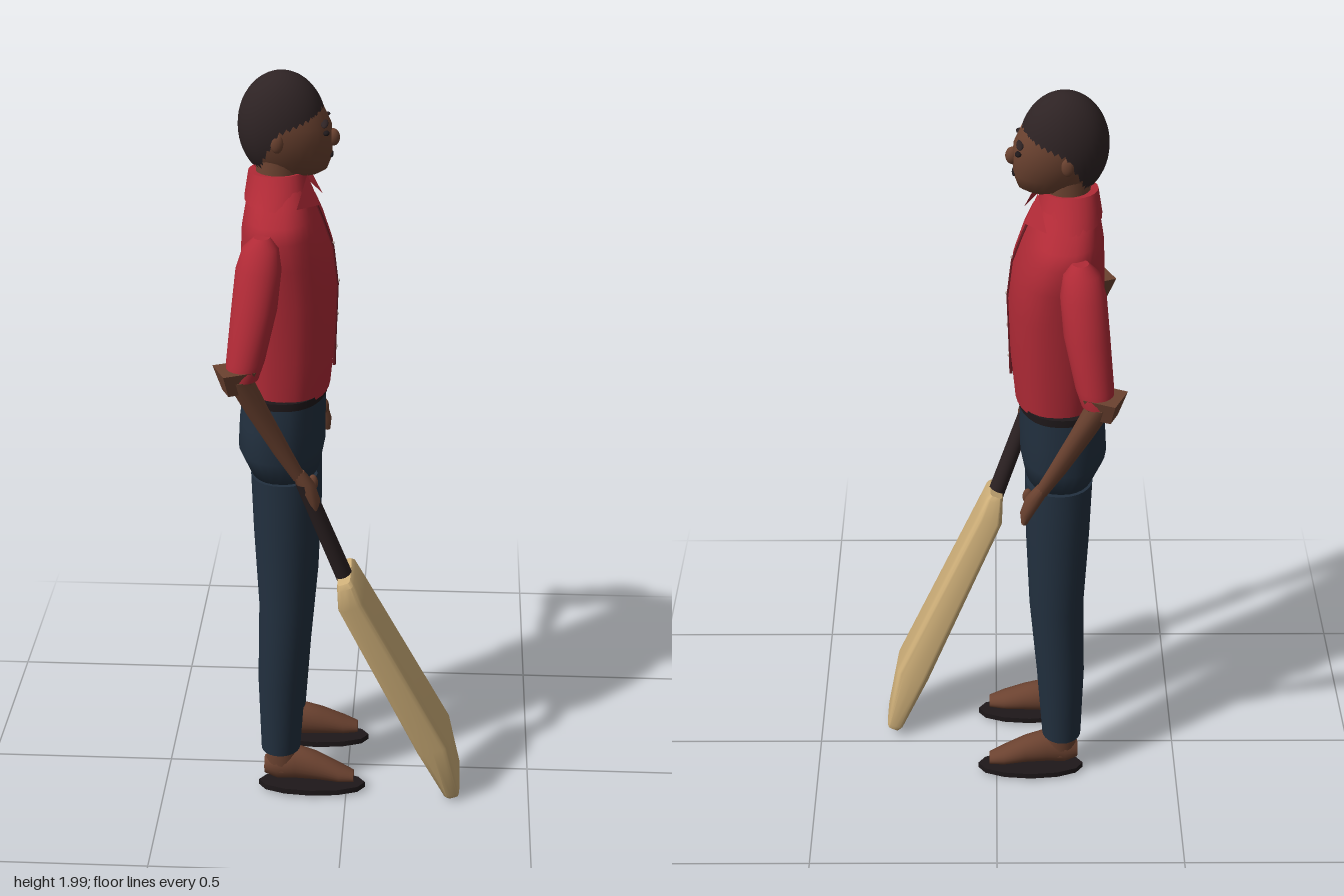
import * as THREE from 'three';
import { toCreasedNormals } from 'three/addons/utils/BufferGeometryUtils.js';

const mat = (name, color, side = THREE.FrontSide) => {
  const m = new THREE.MeshStandardMaterial({ color, side });
  m.name = name;
  return m;
};
const V3 = (x, y, z) => new THREE.Vector3(x, y, z);
const X = V3(1, 0, 0), Y = V3(0, 1, 0), Z = V3(0, 0, 1);

// Skin through rings [x, y, z, halfU, halfV]; power < 1 squares the section off
function loft(rings, { u = X, v = Z, power = 1, seg = 24 } = {}) {
  const pos = [], index = [];
  const bend = (c) => Math.sign(c) * Math.pow(Math.abs(c), power);
  const addRing = ([x, y, z, a, b]) => {
    for (let j = 0; j < seg; j++) {
      const t = (j / seg) * Math.PI * 2;
      const p = V3(x, y, z).addScaledVector(u, a * bend(Math.cos(t))).addScaledVector(v, b * bend(Math.sin(t)));
      pos.push(p.x, p.y, p.z);
    }
  };
  rings.forEach(addRing);
  for (let i = 0; i < rings.length - 1; i++) {
    for (let j = 0; j < seg; j++) {
      const a = i * seg + j, b = i * seg + (j + 1) % seg;
      index.push(a, a + seg, b, b, a + seg, b + seg);
    }
  }
  // flat end caps
  [rings[0], rings[rings.length - 1]].forEach((r, end) => {
    const base = pos.length / 3;
    addRing(r);
    pos.push(r[0], r[1], r[2]);
    for (let j = 0; j < seg; j++) {
      const a = base + j, b = base + (j + 1) % seg;
      index.push(base + seg, end ? b : a, end ? a : b);
    }
  });
  const g = new THREE.BufferGeometry();
  g.setAttribute('position', new THREE.Float32BufferAttribute(pos, 3));
  g.setIndex(index);
  g.computeVertexNormals();
  return g;
}

export function createModel() {
  const model = new THREE.Group();
  model.name = 'batsman';
  const shirt = mat('red shirt', 0xb02a36, THREE.DoubleSide);
  const placketRed = mat('dark red trim', 0x6a1a22);
  const navy = mat('navy trousers', 0x22303f);
  const skin = mat('brown skin', 0x6b4230);
  const hairMat = mat('dark hair', 0x2e2324, THREE.DoubleSide);
  const black = mat('black leather', 0x1e181a);
  const grip = mat('dark grip', 0x2a2021);
  const wood = mat('willow wood', 0xcdae78);
  const pale = mat('pale buttons', 0xb8a8a0);

  const add = (name, geo, material, p = [0, 0, 0], s = [1, 1, 1]) => {
    const m = new THREE.Mesh(geo, material);
    m.name = name;
    m.position.set(...p);
    m.scale.set(...s);
    model.add(m);
    return m;
  };
  const ball = new THREE.SphereGeometry(1, 16, 12);

  // Head and neck
  add('head', loft([
    [-0.128, 1.742, 0, 0.05, 0.025], [-0.135, 1.756, 0, 0.082, 0.045], [-0.14, 1.79, 0, 0.1, 0.066],
    [-0.145, 1.83, 0, 0.106, 0.078], [-0.149, 1.87, 0, 0.108, 0.083], [-0.156, 1.92, 0, 0.092, 0.076],
    [-0.16, 1.965, 0, 0.06, 0.055],
  ]), skin);
  add('neck', loft([[-0.175, 1.68, 0, 0.06, 0.06], [-0.17, 1.8, 0, 0.055, 0.055]]), skin);
  add('nose', ball, skin, [-0.038, 1.835, 0], [0.017, 0.022, 0.014]);
  add('mouth', ball, black, [-0.042, 1.792, 0], [0.005, 0.006, 0.022]);

  // Hair shell with a hairline that drops from brow to nape
  const hair = new THREE.SphereGeometry(1, 40, 20);
  const hp = hair.attributes.position, uv = hair.attributes.uv;
  for (let i = 0; i < hp.count; i++) {
    const phi = uv.getX(i) * Math.PI * 2, c = -Math.cos(phi);
    const edge = c > 0 ? 1.6 - 0.33 * c : 1.6 + 0.8 * Math.min(1, -c * 1.6);
    const th = (1 - uv.getY(i)) * edge;
    hp.setXYZ(i, c * Math.sin(th) * 0.109, Math.cos(th) * 0.135, Math.sin(phi) * Math.sin(th) * 0.088);
  }
  hair.computeVertexNormals();
  add('hair', hair, hairMat, [-0.163, 1.865, 0]);

  // Shirt body and collar
  add('shirtBody', loft([
    [-0.155, 1.185, 0, 0.108, 0.166], [-0.152, 1.3, 0, 0.117, 0.172], [-0.15, 1.45, 0, 0.121, 0.181],
    [-0.154, 1.55, 0, 0.114, 0.193], [-0.164, 1.62, 0, 0.1, 0.198], [-0.168, 1.655, 0, 0.09, 0.18],
    [-0.172, 1.69, 0, 0.078, 0.13], [-0.175, 1.72, 0, 0.068, 0.085],
  ], { power: 0.85, seg: 32 }), shirt);
  add('collar', loft([[-0.175, 1.685, 0, 0.084, 0.138], [-0.177, 1.715, 0, 0.077, 0.098],
    [-0.178, 1.75, 0, 0.07, 0.066]]), shirt);
  add('placket', loft([
    [-0.037, 1.23, 0, 0.004, 0.008], [-0.035, 1.3, 0, 0.004, 0.008], [-0.029, 1.45, 0, 0.004, 0.008],
    [-0.04, 1.55, 0, 0.004, 0.008], [-0.064, 1.62, 0, 0.004, 0.008], [-0.08, 1.66, 0, 0.004, 0.008],
  ], { power: 0.4 }), placketRed);
  [[1.28, -0.031], [1.37, -0.028], [1.46, -0.025], [1.56, -0.038]].forEach(([y, x]) =>
    add('button', ball, pale, [x, y, 0], [0.003, 0.004, 0.004]));

  // Belt and hips
  add('belt', loft([[-0.165, 1.173, 0, 0.113, 0.18], [-0.165, 1.193, 0, 0.113, 0.18]],
    { power: 0.85, seg: 32 }), black);
  add('hips', loft([
    [-0.165, 0.935, 0, 0.06, 0.08], [-0.165, 0.96, 0, 0.092, 0.162], [-0.173, 1.02, 0, 0.112, 0.175],
    [-0.17, 1.1, 0, 0.11, 0.176], [-0.163, 1.18, 0, 0.106, 0.172],
  ], { power: 0.85, seg: 32 }), navy);

  // Paired parts: s = 1 is the bat side, s = -1 the free side
  for (const s of [1, -1]) {
    const side = (rings) => rings.map(([x, y, z, a, b]) => [x, y, z * s, a, b]);

    add('eye', ball, black, [-0.052, 1.857, 0.042 * s], [0.008, 0.006, 0.013]);
    add('eyebrow', ball, hairMat, [-0.056, 1.881, 0.042 * s], [0.009, 0.005, 0.022]).rotation.x = 0.2 * s;
    add('ear', ball, skin, [-0.17, 1.84, 0.08 * s], [0.016, 0.024, 0.01]);

    const flap = new THREE.BufferGeometry().setFromPoints([
      V3(-0.1, 1.748, 0.03 * s), V3(-0.068, 1.675, 0.045 * s), V3(-0.12, 1.69, 0.13 * s)]);
    flap.computeVertexNormals();
    add('collarFlap', flap, shirt);

    add('sleeve', loft(side([
      [-0.244, 1.318, 0.302, 0.04, 0.04], [-0.236, 1.36, 0.292, 0.047, 0.049],
      [-0.216, 1.48, 0.25, 0.056, 0.056], [-0.207, 1.57, 0.216, 0.056, 0.055],
      [-0.203, 1.618, 0.197, 0.044, 0.043], [-0.2, 1.64, 0.187, 0.02, 0.022],
    ])), shirt);

    // flared square elbow running into the forearm
    const elbow = new THREE.CylinderGeometry(0.059, 0.034, 0.06, 4, 1, false, s > 0 ? -0.365 : Math.PI + 0.365);
    add('elbow', toCreasedNormals(elbow, 0.5), skin, [-0.262, 1.315, 0.31 * s]);
    add('forearm', loft(side([
      [-0.108, 1.02, 0.25, 0.019, 0.016], [-0.15, 1.1, 0.264, 0.025, 0.02],
      [-0.208, 1.22, 0.286, 0.031, 0.028], [-0.252, 1.32, 0.306, 0.034, 0.04],
    ]), { seg: 12 }), skin);
    add('hand', loft(side([
      [-0.07, 0.932, 0.247, 0.008, 0.012], [-0.077, 0.965, 0.247, 0.018, 0.022],
      [-0.096, 1.01, 0.25, 0.024, 0.021], [-0.116, 1.045, 0.253, 0.018, 0.016],
    ]), { seg: 12 }), skin);
    add('thumb', ball, skin, [-0.078, 1.005, 0.234 * s], [0.013, 0.022, 0.01]);

    add('trouserLeg', loft(side([
      [-0.18, 0.135, 0.108, 0.053, 0.056], [-0.174, 0.35, 0.108, 0.064, 0.066],
      [-0.16, 0.58, 0.105, 0.072, 0.075], [-0.16, 0.8, 0.096, 0.083, 0.082],
      [-0.162, 0.96, 0.09, 0.086, 0.084],
    ])), navy);
    add('ankle', loft(side([[-0.175, 0.07, 0.11, 0.046, 0.036], [-0.175, 0.16, 0.11, 0.045, 0.038]])), skin);
    add('foot', loft(side([
      [-0.225, 0.075, 0.11, 0.025, 0.022], [-0.19, 0.082, 0.11, 0.046, 0.036],
      [-0.14, 0.088, 0.111, 0.05, 0.038], [-0.08, 0.078, 0.115, 0.04, 0.036],
      [-0.02, 0.062, 0.122, 0.026, 0.032], [0.02, 0.053, 0.125, 0.016, 0.02],
    ]), { u: Y, v: V3(0, 0, -1) }), skin);
    add('sole', loft(side([[-0.095, 0.014, 0.12, 0.146, 0.05], [-0.095, 0.03, 0.12, 0.146, 0.05]]),
      { seg: 12 }), black);
  }

  // Bat: round grip, then a blade that swells on its face
  add('batHandle', loft([[0.005, 0.71, 0.205, 0.024, 0.024], [-0.1, 1.01, 0.249, 0.022, 0.022]]), grip);
  const along = V3(0.29, -0.71, -0.115).normalize();
  const across = V3(0, 0.15, -1).normalize();
  const face = along.clone().cross(across).normalize();
  const blade = loft([
    [0, 0, 0.018, 0.055], [0.012, 0, 0.024, 0.064], [0.07, -0.009, 0.036, 0.072],
    [0.6, 0.013, 0.047, 0.076], [0.765, 0.003, 0.024, 0.075], [0.78, 0.003, 0.018, 0.068],
  ].map(([t, off, a, b]) => {
    const p = V3(0, 0.735, 0.205).addScaledVector(along, t).addScaledVector(face, off);
    return [p.x, p.y, p.z, a, b];
  }), { u: face, v: across, power: 0.35, seg: 32 });
  add('batBlade', toCreasedNormals(blade, 0.6), wood);

  return model;
}
